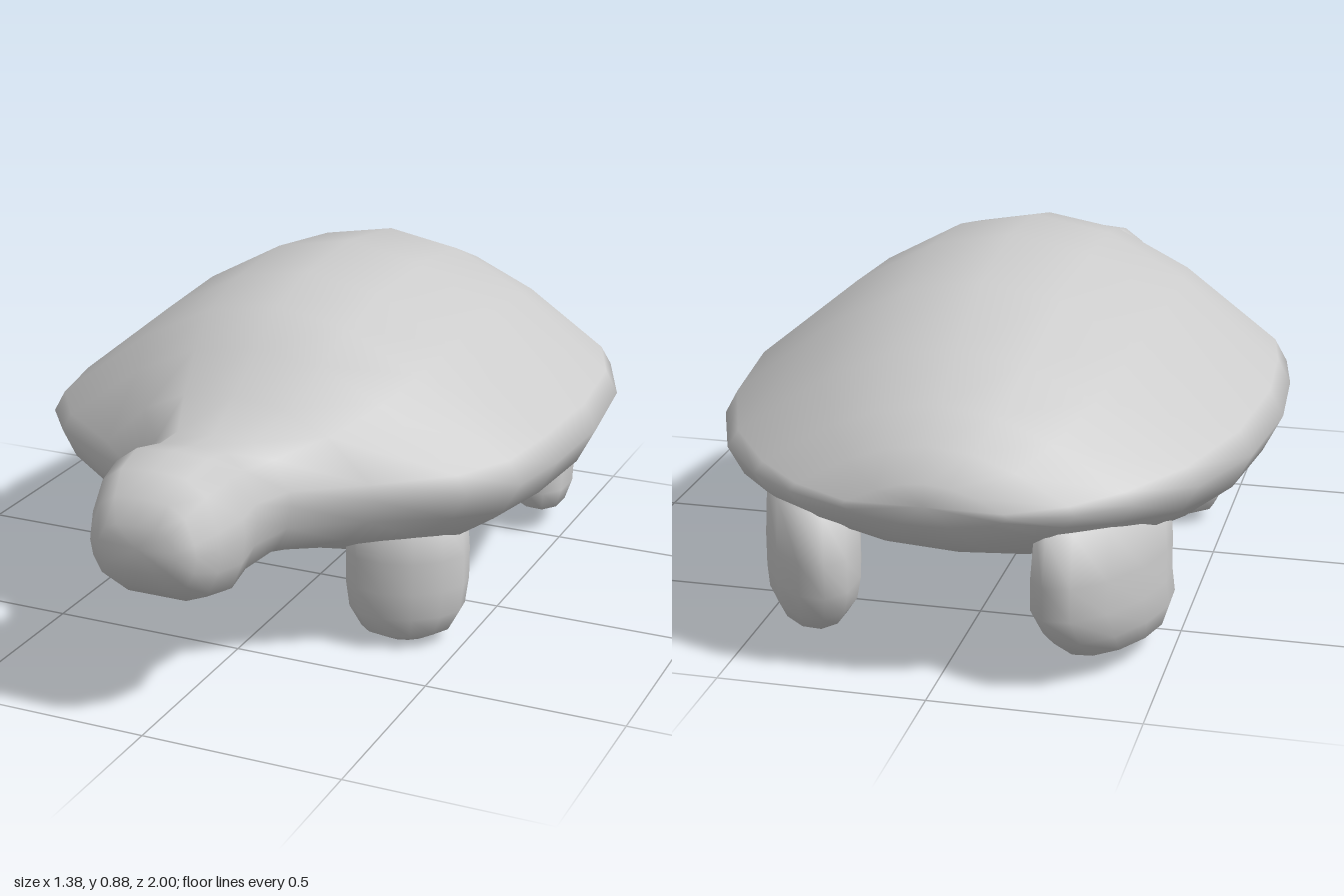
import * as THREE from 'three';
import { mergeVertices } from 'three/addons/utils/BufferGeometryUtils.js';

const material = new THREE.MeshStandardMaterial({ color: 0xcccccc });
const SIDE_Y = 0.455; // height of the shell rim

// Half cross-sections from top to bottom, in units of half-width and height
const SHELL = [[0, 1], [0.29, 0.91], [0.58, 0.65], [0.95, 0.155], [1, 0], [0.93, -0.3], [0.76, -0.6], [0.3, -0.95], [0, -1]];
const HEAD = [[0, 1], [0.5, 0.96], [0.8, 0.74], [0.97, 0.25], [1, 0], [0.95, -0.4], [0.8, -0.8], [0.45, -1], [0, -1]];

// Stations from tail to snout: z, half-width, top, bottom, blend from shell to head
const STATIONS = [
  [-0.99, 0.19, 0.52, 0.42, 0], [-0.94, 0.33, 0.59, 0.36, 0], [-0.85, 0.445, 0.655, 0.31, 0],
  [-0.7, 0.565, 0.74, 0.24, 0], [-0.47, 0.655, 0.835, 0.175, 0], [-0.18, 0.69, 0.875, 0.14, 0],
  [0.08, 0.675, 0.86, 0.16, 0], [0.26, 0.643, 0.82, 0.195, 0], [0.38, 0.55, 0.75, 0.245, 0.05],
  [0.5, 0.37, 0.665, 0.285, 0.35], [0.61, 0.2, 0.605, 0.31, 0.9], [0.72, 0.165, 0.615, 0.297, 1],
  [0.82, 0.182, 0.637, 0.29, 1], [0.91, 0.165, 0.62, 0.315, 1], [0.97, 0.135, 0.575, 0.36, 1],
  [1, 0.1, 0.52, 0.41, 1],
];

function smooth(geometry) {
  geometry.deleteAttribute('normal');
  geometry.deleteAttribute('uv');
  const merged = mergeVertices(geometry, 1e-4);
  merged.computeVertexNormals();
  return merged;
}

// Shell, neck and head as one skin
function bodyGeometry() {
  const positions = [];
  const index = [];
  const last = SHELL.length - 1;
  const n = last * 2;
  for (const [z, w, top, bottom, blend] of STATIONS) {
    for (let j = 0; j < n; j++) {
      const k = j <= last ? j : n - j;
      const side = j <= last ? 1 : -1;
      const u = THREE.MathUtils.lerp(SHELL[k][0], HEAD[k][0], blend);
      const v = THREE.MathUtils.lerp(SHELL[k][1], HEAD[k][1], blend);
      positions.push(side * u * w, SIDE_Y + v * (v > 0 ? top - SIDE_Y : SIDE_Y - bottom), z);
    }
  }
  const rows = STATIONS.length;
  const tail = rows * n;
  positions.push(0, 0.47, -1, 0, 0.465, 1);
  for (let j = 0; j < n; j++) {
    const next = (j + 1) % n;
    for (let i = 0; i < rows - 1; i++) {
      const a = i * n + j, b = i * n + next, c = b + n, d = a + n;
      index.push(a, d, b, b, d, c);
    }
    index.push(tail, j, next);
    index.push(tail + 1, (rows - 1) * n + next, (rows - 1) * n + j);
  }
  const geometry = new THREE.BufferGeometry();
  geometry.setAttribute('position', new THREE.Float32BufferAttribute(positions, 3));
  geometry.setIndex(index);
  geometry.computeVertexNormals();
  return geometry;
}

// Stubby oval leg with a rounded foot; lean pushes the foot along the long axis
function legGeometry(long, thick, floor, top, lean) {
  const profile = [[0, 0], [0.36, 0.008], [0.74, 0.035], [0.94, 0.09], [1, 0.16], [1, 0.24], [0.94, top - floor], [0, top - floor]];
  const geometry = new THREE.LatheGeometry(profile.map(([r, y]) => new THREE.Vector2(r, y)), 12);
  geometry.scale(long, 1, thick);
  const p = geometry.attributes.position;
  for (let i = 0; i < p.count; i++) {
    const t = Math.max(0, 1 - p.getY(i) / 0.16);
    p.setX(i, p.getX(i) + lean * t);
  }
  geometry.translate(0, floor, 0);
  return smooth(geometry);
}

export function createModel() {
  const model = new THREE.Group();
  model.name = 'turtle';

  const body = new THREE.Mesh(bodyGeometry(), material);
  body.name = 'shellAndHead';
  model.add(body);

  // Splayed legs, mirrored left and right
  const legs = [
    { name: 'FrontLeg', geometry: legGeometry(0.154, 0.108, 0, 0.36, 0), x: 0.355, z: 0.262, turn: 28 },
    { name: 'RearLeg', geometry: legGeometry(0.236, 0.112, 0.033, 0.4, 0.07), x: 0.35, z: -0.72, turn: -66 },
  ];
  for (const { name, geometry, x, z, turn } of legs) {
    for (const side of [1, -1]) {
      const leg = new THREE.Mesh(geometry, material);
      const angle = THREE.MathUtils.degToRad(turn);
      leg.name = (side > 0 ? 'left' : 'right') + name;
      leg.position.set(side * x, 0, z);
      leg.rotation.y = side > 0 ? angle : Math.PI - angle;
      model.add(leg);
    }
  }
  return model;
}
